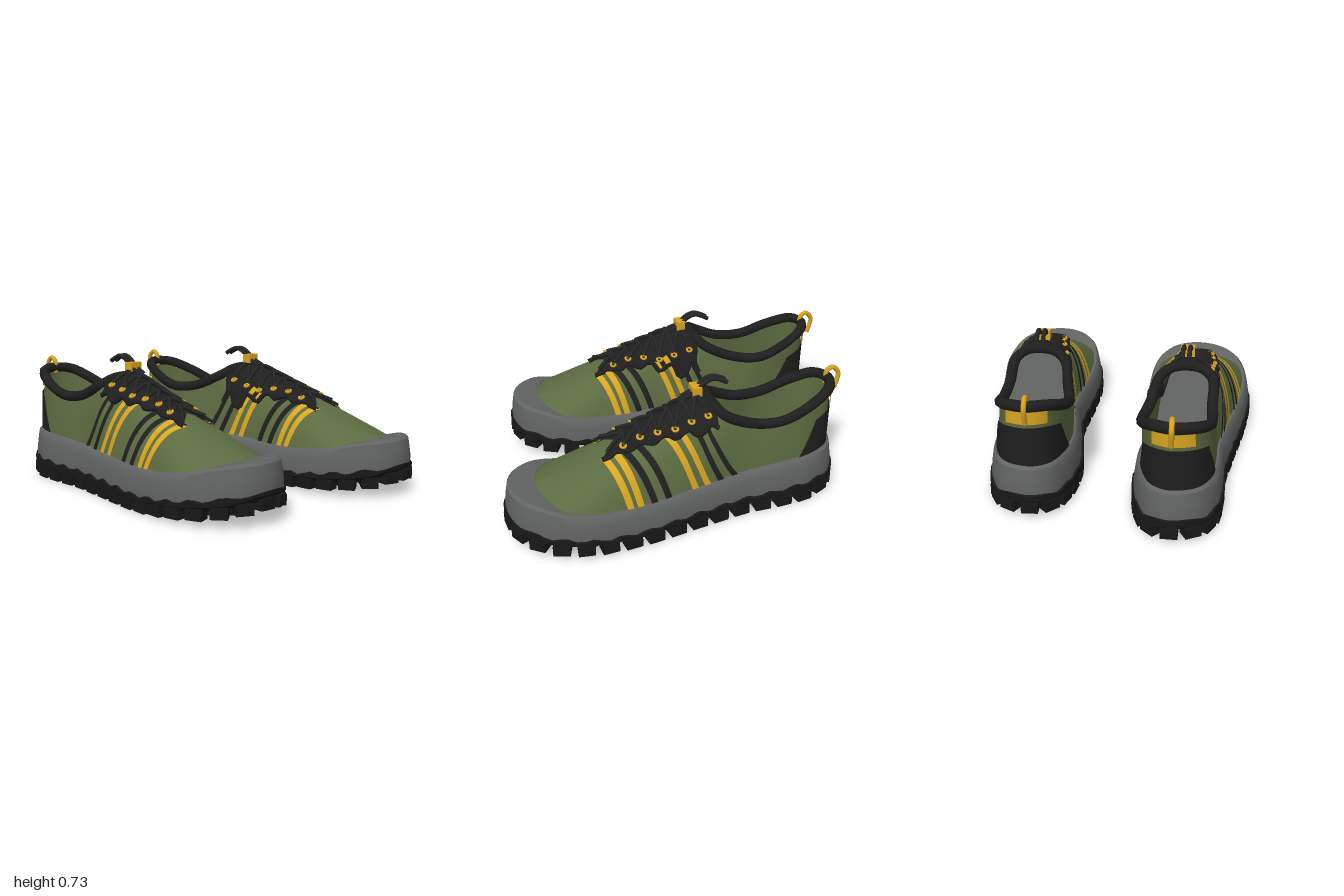
import * as THREE from 'three';
import { mergeGeometries, toCreasedNormals } from 'three/addons/utils/BufferGeometryUtils.js';

const V = (x, y, z) => new THREE.Vector3(x, y, z);
const { lerp, smoothstep } = THREE.MathUtils;
const mat = (name, color, side = THREE.FrontSide) => {
  const m = new THREE.MeshStandardMaterial({ color, side });
  m.name = name;
  return m;
};

// Paired stations, heel > outer side > toe > inner side: sole x, z, then top edge x, y, z
const STATIONS = [
  [.35, -.825, .35, .60, -.78], [.50, -.775, .45, .59, -.745], [.585, -.64, .515, .54, -.62],
  [.615, -.46, .535, .485, -.46], [.627, -.25, .535, .495, -.30], [.665, -.05, .53, .565, -.14],
  [.68, .03, .47, .60, -.10], [.71, .17, .41, .61, 0], [.75, .38, .43, .52, .24],
  [.775, .60, .445, .43, .46], [.735, .80, .45, .365, .62], [.62, .945, .45, .335, .70],
  [.45, .995, .45, .325, .73], [.29, .94, .45, .335, .70], [.185, .79, .45, .365, .62],
  [.148, .60, .445, .43, .46], [.163, .38, .43, .52, .24], [.185, .17, .41, .61, 0],
  [.192, .03, .33, .60, -.10], [.183, -.05, .265, .565, -.14], [.155, -.25, .225, .495, -.30],
  [.14, -.42, .195, .482, -.46], [.165, -.62, .205, .535, -.61], [.23, -.765, .26, .59, -.735],
];
const outline = new THREE.CatmullRomCurve3(STATIONS.map(s => V(s[0], 0, s[1])), true, 'catmullrom');
const topEdge = new THREE.CatmullRomCurve3(STATIONS.map(s => V(s[2], s[3], s[4])), true, 'catmullrom');

// Smoothly interpolated height tables along z
const table = pts => z => {
  if (z <= pts[0][0]) return pts[0][1];
  for (let i = 1; i < pts.length; i++)
    if (z < pts[i][0]) return lerp(pts[i - 1][1], pts[i][1], (z - pts[i - 1][0]) / (pts[i][0] - pts[i - 1][0]));
  return pts[pts.length - 1][1];
};
const lugY = table([[-.83, .03], [-.6, 0], [.35, 0], [.45, .01], [.75, .035], [.9, .055], [1, .095]]);
const seamY = table([[-.82, .115], [-.4, .095], [0, .09], [.35, .08], [.55, .095], [.85, .135], [1, .165]]);
const soleTopY = table([[-.82, .275], [-.4, .25], [0, .225], [.3, .212], [.5, .22], [.7, .25], [.82, .285], [1, .31]]);
const midX = table([[-.8, .35], [-.4, .38], [0, .435], [.6, .46], [1, .45]]);
const spineX = table([[-.1, .40], [0, .41], [.24, .43], [.46, .445]]);

const wrap = t => ((t % 1) + 1) % 1;
const inset = (t, d) => {
  const p = outline.getPoint(wrap(t)), n = outline.getTangent(wrap(t));
  return V(p.x - n.z * d, 0, p.z + n.x * d);
};
const capInset = z => .05 + .1 * smoothstep(z, .7, .99);

// Upper surface: t runs round the shoe, v from sole (0) to top edge (1)
function upperPoint(t, v, off = 0) {
  t = wrap(t);
  const zo = outline.getPoint(t).z;
  const b = inset(t, capInset(zo)), top = topEdge.getPoint(t);
  b.y = soleTopY(b.z) - .01;
  const k = smoothstep(zo, -.3, .1), toe = smoothstep(zo, .55, .95);
  const h = lerp(lerp(.38, .3, k), .5, toe), y = lerp(lerp(.5, .85, k), .62, toe);
  const c = V(lerp(b.x, top.x, h), lerp(b.y, top.y, y), lerp(b.z, top.z, h));
  const p = b.clone().multiplyScalar((1 - v) ** 2).addScaledVector(c, 2 * v * (1 - v)).addScaledVector(top, v * v);
  if (off) {
    const dv = upperPoint(t, v + .01).sub(p), dt = upperPoint(t + .002, v).sub(p);
    p.addScaledVector(dv.cross(dt).normalize(), off);
  }
  return p;
}
function tAt(z, v, side) {
  let lo = side > 0 ? 0 : 1, hi = .5;
  for (let i = 0; i < 16; i++) {
    const m = (lo + hi) / 2;
    if (upperPoint(m, v).z < z) lo = m; else hi = m;
  }
  return (lo + hi) / 2;
}
// Point on the instep above a given x, z
function onTop(x, z, off) {
  const side = x >= spineX(z) ? 1 : -1;
  let lo = 0, hi = 1, p;
  for (let i = 0; i < 14; i++) {
    const m = (lo + hi) / 2;
    p = upperPoint(tAt(z, m, side), m);
    if ((p.x - x) * side > 0) lo = m; else hi = m;
  }
  return V(x, p.y + off, z);
}

// Grid surface from f(u, v)
function grid(nu, nv, f, closed = false) {
  const pos = [], idx = [], cols = closed ? nu : nu + 1;
  for (let j = 0; j <= nv; j++) for (let i = 0; i < cols; i++) pos.push(...f(i / nu, j / nv).toArray());
  for (let j = 0; j < nv; j++) for (let i = 0; i < nu; i++) {
    const a = j * cols + i, c = j * cols + (i + 1) % cols;
    idx.push(a, a + cols, c, c, a + cols, c + cols);
  }
  const g = new THREE.BufferGeometry();
  g.setAttribute('position', new THREE.Float32BufferAttribute(pos, 3));
  g.setIndex(idx);
  g.computeVertexNormals();
  return g;
}
// Rings given as [inset, height rule]; inset null collapses to the centre line
const rings = list => toCreasedNormals(grid(120, list.length - 1, (u, v) => {
  const [d, y] = list[Math.round(v * (list.length - 1))];
  const p = inset(u, d === null ? .03 : typeof d === 'function' ? d(outline.getPoint(u).z) : d);
  if (d === null) p.x = midX(p.z);
  p.y = y(p.z);
  return p;
}, true), .6);
const tube = (pts, r, n = 24, closed = false) =>
  new THREE.TubeGeometry(new THREE.CatmullRomCurve3(pts, closed), n, r, 8, closed);

function createShoe(M) {
  const shoe = new THREE.Group();
  const add = (name, geo, m) => {
    const mesh = new THREE.Mesh(geo, m);
    mesh.name = name;
    shoe.add(mesh);
  };

  // Outsole with wavy upper rim, and tread lugs
  const wave = z => seamY(z) + .01 * Math.sin(z * 45);
  add('outsole', rings([[null, z => lugY(z) + .04], [.03, z => lugY(z) + .04], [0, z => lugY(z) + .06],
    [0, wave], [.025, z => wave(z) + .008]]), M.sole);
  const lugs = [];
  const lug = (x, z, w, d, a) => lugs.push(new THREE.BoxGeometry(w, .055, d).rotateY(a).translate(x, lugY(z) + .0275, z));
  for (let i = 0; i < 34; i++) {
    const t = outline.getUtoTmapping(i / 34), p = inset(t, .035), n = outline.getTangent(t);
    lug(p.x, p.z, .07, .085, Math.atan2(n.x, n.z));
  }
  for (let r = 0; r < 14; r++) {
    const z = -.68 + r * .115;
    const half = outline.getPoint(tAt(z, 0, 1)).x - midX(z) - .1;
    for (let x = -.24 + (r % 2) * .05; x < .25; x += .1) if (Math.abs(x) < half) lug(midX(z) + x, z, .06, .06, Math.PI / 4);
  }
  add('treadLugs', mergeGeometries(lugs), M.sole);

  // Midsole with toe cap, and insole
  const lip = z => capInset(z) + .012;
  add('midsole', rings([[.012, z => seamY(z) - .015], [.01, z => seamY(z) + .03], [.018, z => lerp(seamY(z), soleTopY(z), .6)],
    [.026, z => soleTopY(z) - .015], [.04, soleTopY], [lip, soleTopY], [lip, z => soleTopY(z) - .03]]), M.rubber);
  add('insole', rings([[.06, () => .235], [null, () => .235]]), M.rubber);

  // Upper, heel counter and padded collar
  add('upper', grid(120, 16, (u, v) => upperPoint(u, v), true), M.fabric);
  add('heelCounter', grid(30, 8, (u, v) => upperPoint((u * 2 - 1) * (.105 - .03 * v), v * .66, .009), false), M.trim);
  const collar = [18, 19, 20, 21, 22, 23, 0, 1, 2, 3, 4, 5, 6].map(i => V(...STATIONS[i].slice(2)));
  add('collar', tube(collar, .028, 96, true), M.trim);

  // Heel patch and pull loop
  add('heelPatch', grid(16, 4, (u, v) => upperPoint((u * 2 - 1) * .04, .72 + v * .2, .012)), M.gold);
  add('pullLoop', tube([V(.35, .57, -.77), V(.35, .635, -.773), V(.35, .658, -.805), V(.35, .62, -.842),
    V(.35, .53, -.825)], .013), M.gold);

  // Side stripes: bottom z, top z
  const stripes = [[.395, .487, 'gold'], [.342, .43, 'gold'], [.267, .396, 'trim'], [.19, .33, 'trim'],
    [.04, .2, 'gold'], [-.03, .14, 'gold'], [-.107, .06, 'trim'], [-.19, -.01, 'trim']];
  for (const side of [1, -1]) for (const [zb, zt, m] of stripes)
    add(m + 'Stripe', grid(2, 14, (u, v) => {
      const z = lerp(zb, zt, v) + (u - .5) * .034, w = v * .78;
      return upperPoint(tAt(z, w, side), w, .008);
    }), M[m]);

  // Lace panel with scalloped edges and two front points
  const half = z => lerp(.155, .09, (z + .1) / .58) + .01 * Math.cos(z * 52);
  const panel = (q, s, off) => {
    const z = lerp(-.1, .42 + .08 * Math.abs(q), s);
    return onTop(spineX(z) + q * half(z), z, off);
  };
  add('lacePanel', grid(10, 24, (u, v) => panel(u * 2 - 1, v, .018)), M.trim);
  for (const q of [1, -1]) {
    const edge = [];
    for (let i = 0; i <= 16; i++) edge.push(panel(q, i / 16, .012));
    add('panelEdge', tube(edge, .014, 40), M.trim);
  }

  // Crossed laces and eyelets
  for (let i = 0; i < 6; i++) for (const q of [1, -1]) {
    const s = .08 + i * .15;
    const pts = [-1, -.5, 0, .5, 1].map((k, j) => panel(k * q * .82, s + j * .0375, .03));
    add('lace', tube(pts, .011, 12), M.lace);
    const p = panel(q * .86, s, .03);
    add('eyelet', new THREE.TorusGeometry(.014, .007, 6, 12).rotateX(Math.PI / 2).rotateZ(-q * .5).translate(p.x, p.y, p.z), M.gold);
  }

  // Cord lock and the two loose cord ends
  add('cordLock', new THREE.BoxGeometry(.075, .05, .05).translate(.397, .662, -.025), M.gold);
  for (const d of [-.017, .017])
    add('cordEnd', tube([V(.4 + d, .625, .05), V(.397 + d, .66, -.02), V(.395 + d, .705, -.075), V(.393 + d, .717, -.115),
      V(.391 + d, .702, -.16), V(.39 + d, .685, -.19)], .012), M.lace);
  return shoe;
}

export function createModel() {
  const M = {
    fabric: mat('olive fabric', 0x5c6b40, THREE.DoubleSide),
    rubber: mat('grey rubber', 0x636564),
    sole: mat('black rubber', 0x181818),
    trim: mat('black trim', 0x1f1f1f, THREE.DoubleSide),
    lace: mat('black cord', 0x242424),
    gold: mat('gold accent', 0xd9a521, THREE.DoubleSide),
  };
  const model = new THREE.Group();
  const left = createShoe(M);
  left.name = 'leftShoe';
  const right = left.clone(true);
  right.name = 'rightShoe';
  right.scale.x = -1;
  right.position.z = -.148;
  model.add(left, right);
  return model;
}
